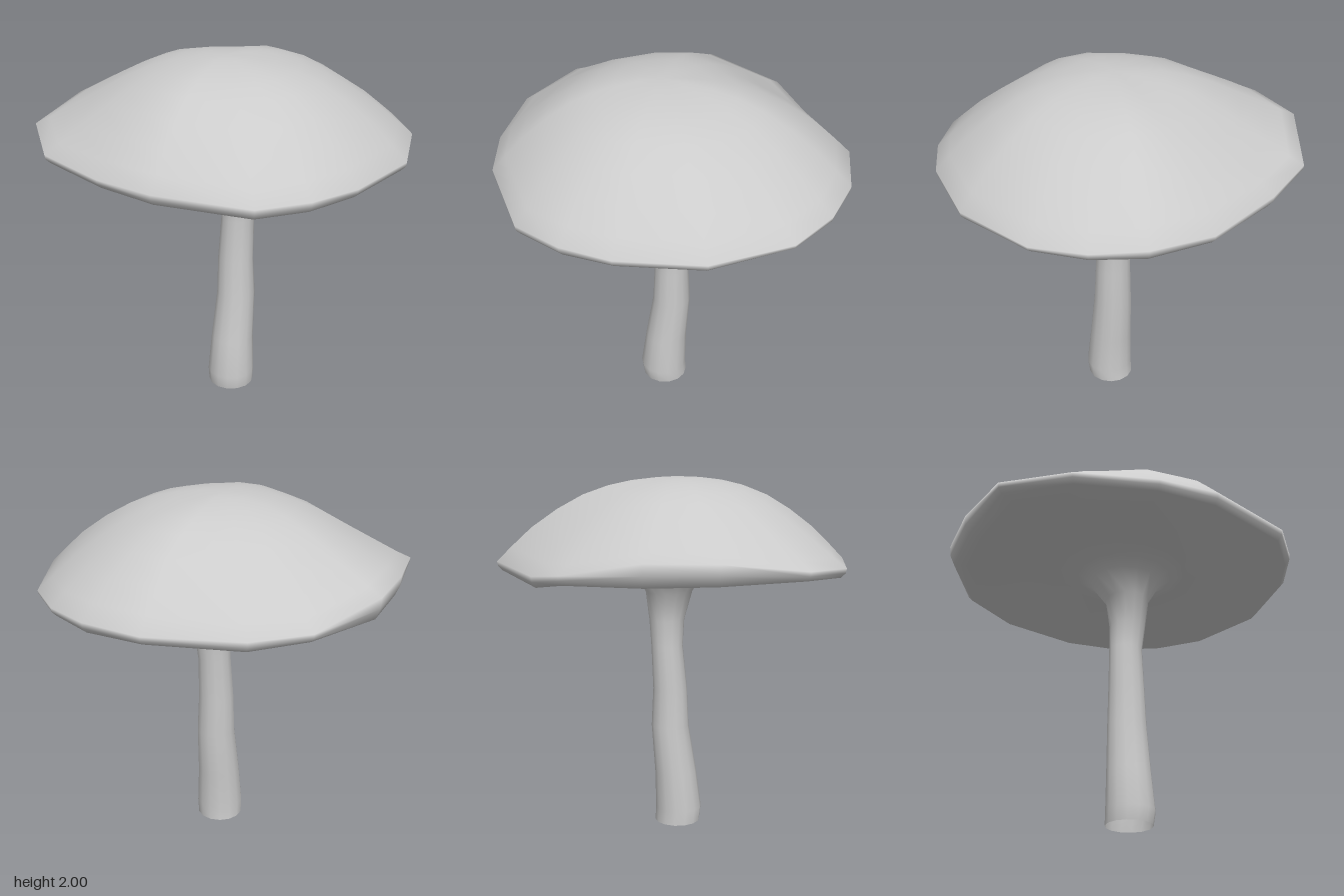
import * as THREE from 'three';
import { mergeVertices } from 'three/addons/utils/BufferGeometryUtils.js';

const material = new THREE.MeshStandardMaterial({ color: 0xcccccc, side: THREE.DoubleSide });

// Skins closed rings of [x, y, z] points, listed from top to bottom.
function loft(name, rings) {
  const n = rings[0].length;
  const index = [];
  for (let i = 0; i < rings.length - 1; i++) {
    for (let j = 0; j < n; j++) {
      const k = (j + 1) % n;
      const a = i * n + j, b = i * n + k, c = a + n, d = b + n;
      index.push(a, b, c, b, d, c);
    }
  }
  let geometry = new THREE.BufferGeometry();
  geometry.setAttribute('position', new THREE.Float32BufferAttribute(rings.flat(2), 3));
  geometry.setIndex(index);
  geometry = mergeVertices(geometry);
  geometry.computeVertexNormals();
  const mesh = new THREE.Mesh(geometry, material);
  mesh.name = name;
  return mesh;
}

// Irregular cap rim: x, z, height of upper edge, height of lower edge
const rim = [
  [0.95, -0.03, 1.55, 1.50], [0.92, 0.31, 1.55, 1.49], [0.80, 0.57, 1.54, 1.49],
  [0.60, 0.79, 1.53, 1.49], [0.18, 0.97, 1.54, 1.49], [-0.27, 0.94, 1.54, 1.49],
  [-0.53, 0.84, 1.54, 1.48], [-0.76, 0.67, 1.54, 1.48], [-0.94, 0.20, 1.56, 1.50],
  [-0.95, -0.13, 1.56, 1.51], [-0.86, -0.57, 1.56, 1.51], [-0.60, -0.89, 1.59, 1.54],
  [-0.15, -0.97, 1.64, 1.53], [0.22, -0.98, 1.65, 1.53], [0.61, -0.78, 1.57, 1.52],
  [0.75, -0.50, 1.53, 1.47],
];

function createCap() {
  // Dome: [spread from the apex, share of the drop to the rim]
  const dome = [[0, 0], [0.13, 0.005], [0.27, 0.04], [0.4, 0.1], [0.53, 0.2], [0.67, 0.37], [0.81, 0.59], [0.92, 0.82], [1, 1]];
  const apexX = -0.06;
  const rings = dome.map(([s, drop]) => rim.map(([x, z, top]) => {
    // The slope is straighter at the back and on the diagonals
    const diagonal = Math.sin(2 * Math.atan2(z, x)) ** 2;
    const flatten = Math.sin(Math.PI * s * s) * (0.05 * Math.max(0, -z) + 0.03 * diagonal);
    return [x * s + apexX * (1 - s), 2 - (2 - top) * drop - flatten, z * s];
  }));
  // Rolled lip, then the shallow hollow underside, open where the stem enters
  rings.push(rim.map(([x, z, top, low]) => [x * 0.995, (top + low) / 2, z * 0.995]));
  const under = [[0.97, 0], [0.9, 0.15], [0.6, 0.75], [0.32, 1]];
  for (const [s, blend] of under) {
    rings.push(rim.map(([x, z, , low]) => [x * s, low + (1.54 - low) * blend, z * s]));
  }
  return loft('cap', rings);
}

function createStem() {
  // Height, then extents: min x, max x, min z, max z; the top flares into the cap
  const sections = [
    [1.545, -0.38, 0.37, -0.38, 0.40], [1.52, -0.27, 0.26, -0.25, 0.30],
    [1.48, -0.205, 0.195, -0.18, 0.235],
    [1.36, -0.135, 0.13, -0.085, 0.165], [1.20, -0.09, 0.11, -0.06, 0.15],
    [1.05, -0.08, 0.10, -0.06, 0.13], [0.80, -0.105, 0.09, -0.07, 0.135],
    [0.58, -0.115, 0.10, -0.075, 0.145], [0.30, -0.16, 0.08, -0.09, 0.155],
    [0.08, -0.19, 0.075, -0.10, 0.17], [0, -0.18, 0.08, -0.10, 0.16],
  ];
  const sides = 14;
  return loft('stem', sections.map(([y, x0, x1, z0, z1]) =>
    Array.from({ length: sides }, (_, j) => {
      const a = (j / sides) * Math.PI * 2;
      return [
        (x0 + x1) / 2 + Math.cos(a) * (x1 - x0) / 2,
        y,
        (z0 + z1) / 2 + Math.sin(a) * (z1 - z0) / 2,
      ];
    })));
}

export function createModel() {
  const mushroom = new THREE.Group();
  mushroom.name = 'mushroom';
  mushroom.add(createCap(), createStem());
  return mushroom;
}
